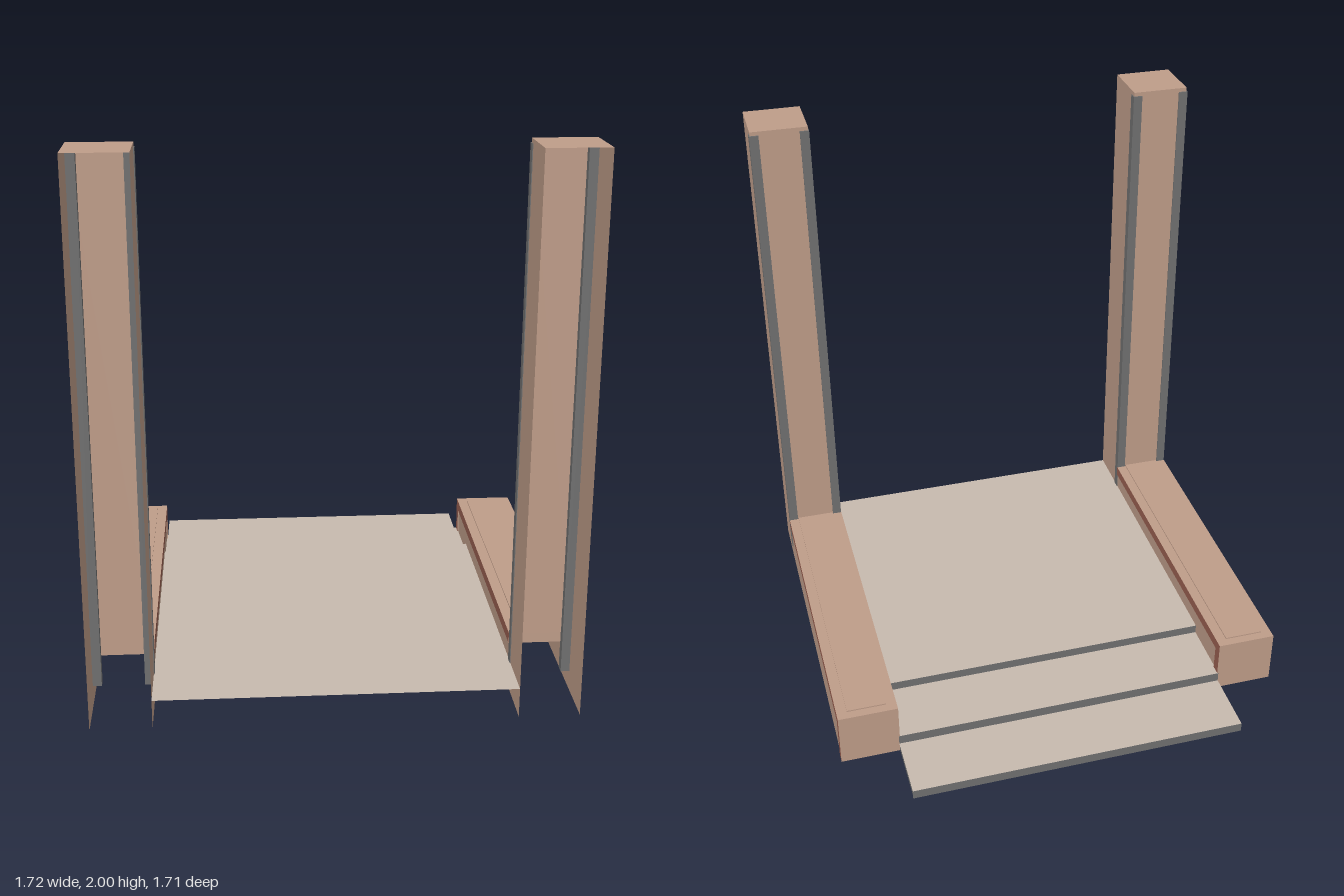
import * as THREE from 'three';

const mat = (name, color) => {
  const m = new THREE.MeshStandardMaterial({ color, side: THREE.DoubleSide });
  m.name = name;
  return m;
};

export function createModel() {
  const root = new THREE.Group();
  root.name = 'gatePlatform';
  const brown = mat('lightBrown', 0xbf9d89);
  const red = mat('redBrown', 0x985f50);
  const grey = mat('grey', 0x707070);
  const tan = mat('tan', 0xc7baae);

  const add = (parent, name, geo, material) => {
    const mesh = new THREE.Mesh(geo, material);
    mesh.name = name;
    parent.add(mesh);
    return mesh;
  };
  // Box given by its two extreme corners
  const box = (parent, name, [x0, y0, z0], [x1, y1, z1], material) => {
    const geo = new THREE.BoxGeometry(x1 - x0, y1 - y0, z1 - z0);
    geo.translate((x0 + x1) / 2, (y0 + y1) / 2, (z0 + z1) / 2);
    return add(parent, name, geo, material);
  };
  // Flat panels facing x, y or z
  const panelX = (parent, name, x, y0, y1, z0, z1, facing, m) => {
    const geo = new THREE.PlaneGeometry(z1 - z0, y1 - y0).rotateY(facing * Math.PI / 2);
    return add(parent, name, geo.translate(x, (y0 + y1) / 2, (z0 + z1) / 2), m);
  };
  const panelY = (parent, name, y, x0, x1, z0, z1, m) => {
    const geo = new THREE.PlaneGeometry(x1 - x0, z1 - z0).rotateX(-Math.PI / 2);
    return add(parent, name, geo.translate((x0 + x1) / 2, y, (z0 + z1) / 2), m);
  };
  const panelZ = (parent, name, z, x0, x1, y0, y1, m) => {
    const geo = new THREE.PlaneGeometry(x1 - x0, y1 - y0).rotateY(Math.PI);
    return add(parent, name, geo.translate((x0 + x1) / 2, (y0 + y1) / 2, z), m);
  };

  const IN = 0.64, OUT = 0.857, FRONT = 0.855, BACK = -0.605, COL = 0.645;

  for (const side of [1, -1]) {
    const label = side > 0 ? 'left' : 'right';
    const lo = side > 0 ? IN : -OUT, hi = side > 0 ? OUT : -IN;

    // Hollow column, open at the front
    const column = new THREE.Group();
    column.name = label + 'Column';
    panelX(column, 'columnWall', lo, 0, 2, COL, FRONT, -1, brown);
    panelX(column, 'columnWall', hi, 0, 2, COL, FRONT, 1, brown);
    panelZ(column, 'columnBack', COL, lo, hi, 0.215, 2, brown);
    panelY(column, 'columnTop', 2, lo, hi, COL, FRONT, brown);
    // Grey strips on the back corners
    for (const x of [lo - 0.003, hi - 0.032]) {
      box(column, 'cornerStrip', [x, 0.07, 0.64], [x + 0.035, 1.985, 0.672], grey);
    }
    root.add(column);

    // Hollow low wall with a trimmed cap and end
    const wall = new THREE.Group();
    wall.name = label + 'LowWall';
    panelX(wall, 'wallSide', lo, 0, 0.18, BACK, COL, -1, brown);
    panelX(wall, 'wallSide', hi, 0, 0.18, BACK, COL, 1, brown);
    box(wall, 'wallCap', [lo - 0.004, 0.175, -0.57], [hi + 0.004, 0.215, 0.642],
      [red, red, brown, brown, brown, brown]);
    box(wall, 'wallEnd', [lo - 0.004, 0, -0.608], [hi + 0.004, 0.215, -0.57],
      [red, red, brown, red, brown, brown]);
    box(wall, 'capPanel', [lo + 0.035, 0.215, -0.575], [hi - 0.035, 0.22, 0.642], brown);
    root.add(wall);
  }

  // Floor and two steps, open underneath
  const levels = [
    ['floor', 0.11, -0.36, FRONT, 0.075],
    ['upperStep', 0.075, -0.61, -0.36, 0.037],
    ['lowerStep', 0.037, -0.855, -0.61, 0],
  ];
  for (const [name, y, z0, z1, base] of levels) {
    const level = new THREE.Group();
    level.name = name;
    panelY(level, name + 'Top', y, -IN, IN, z0, z1, tan);
    panelZ(level, name + 'Riser', z0, -IN, IN, base, y, grey);
    if (name !== 'floor') {
      panelX(level, name + 'Side', -IN + 0.002, base, y, z0, z1, -1, grey);
      panelX(level, name + 'Side', IN - 0.002, base, y, z0, z1, 1, grey);
    }
    root.add(level);
  }
  return root;
}
